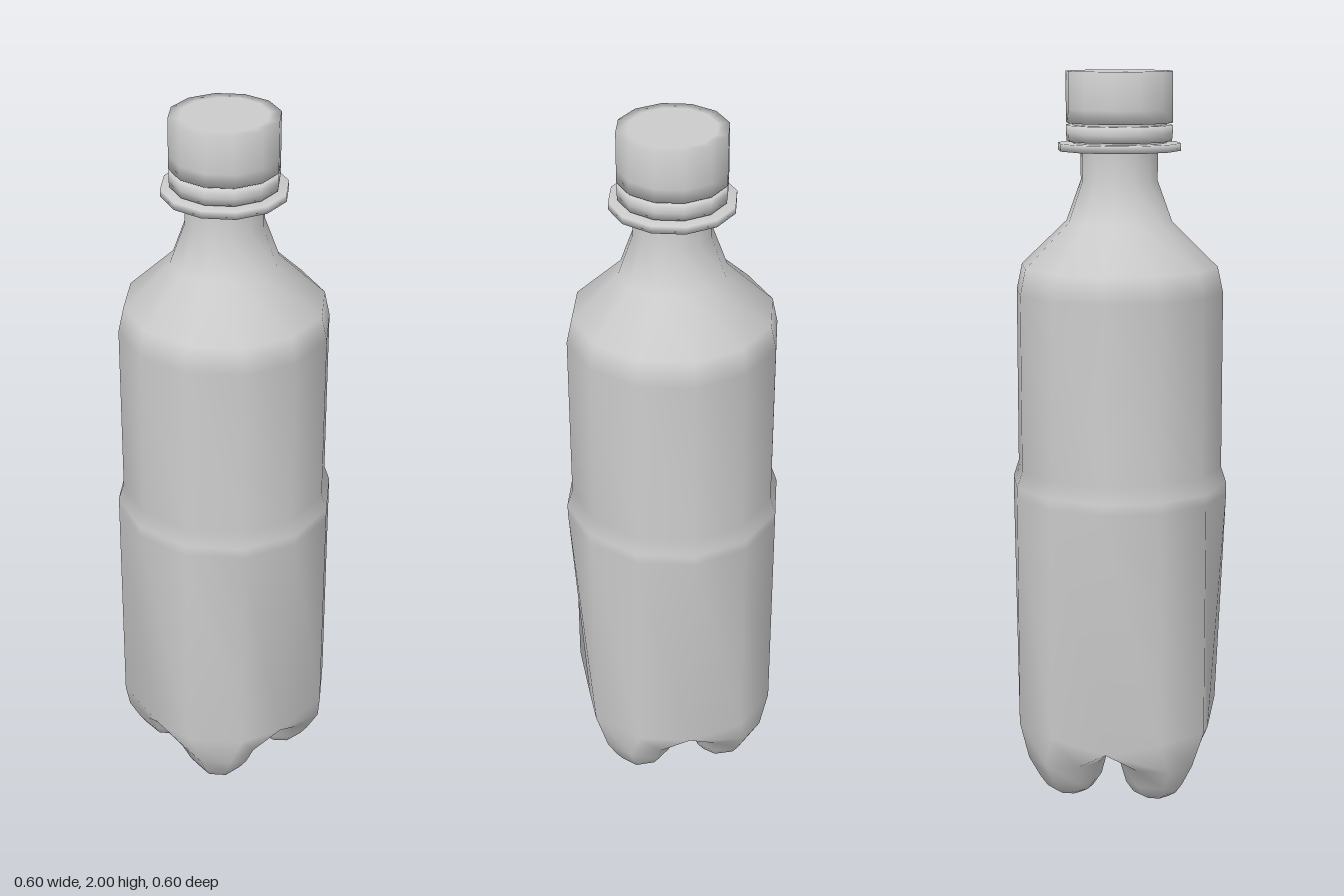
import * as THREE from 'three';
import { mergeGeometries, mergeVertices } from 'three/addons/utils/BufferGeometryUtils.js';

const SIDES = 12;
const R = 0.3;
const RIM = { r: 0.255, y: 0.16 }; // where each groove meets the wall

const lathe = (profile) =>
  new THREE.LatheGeometry(profile.map(([r, y]) => new THREE.Vector2(r, y)), SIDES);

// Wall from the feet to the neck; the four groove corners are drawn inward at the bottom
function wallGeometry() {
  const geo = lathe([
    [R, 0.2], [R, 0.85], [R, 0.88], [0.285, 0.925], [0.285, 1.41], [0.27, 1.48],
    [0.145, 1.6], [0.105, 1.71], [0.105, 1.8],
  ]);
  const p = geo.attributes.position;
  for (let i = 0; i < p.count; i++) {
    const x = p.getX(i), z = p.getZ(i);
    if (p.getY(i) < 0.21 && Math.min(Math.abs(x), Math.abs(z)) < 0.01) {
      p.setXYZ(i, (x * RIM.r) / R, RIM.y, (z * RIM.r) / R);
    }
  }
  geo.deleteAttribute('uv');
  geo.deleteAttribute('normal');
  return geo.toNonIndexed();
}

// One foot: loops shrinking from a quarter of the base outline to a round tip
function footGeometry(turns) {
  const c = R * Math.cos(Math.PI / 6), s = R / 2;
  const outline = [
    [0, 0.145, 0], [0.08, 0.145, 0], [0.17, 0.148, 0], [RIM.r, RIM.y, 0], [c, 0.2, s],
    [s, 0.2, c], [0, RIM.y, RIM.r], [0, 0.148, 0.17], [0, 0.145, 0.08],
  ];
  const angles = [-180, -140, -105, -70, -22, 22, 70, 105, 140];
  const ring = (centre, r, y) => angles.map((deg) => {
    const a = THREE.MathUtils.degToRad(deg + 45);
    return [centre + r * Math.cos(a), y, centre + r * Math.sin(a)];
  });
  const loops = [
    outline, ring(0.128, 0.111, 0.11), ring(0.121, 0.088, 0.05),
    ring(0.121, 0.066, 0.018), ring(0.122, 0.04, 0.002),
  ];
  const tip = [0.122, 0, 0.122];
  const out = [];
  const tri = (...corners) => corners.forEach(([x, y, z]) => {
    for (let t = 0; t < turns; t++) [x, z] = [-z, x];
    out.push(x, y, z);
  });
  const n = angles.length;
  for (let i = 0; i < n; i++) {
    const j = (i + 1) % n;
    for (let k = 0; k < loops.length - 1; k++) {
      const a = loops[k], b = loops[k + 1];
      tri(a[i], a[j], b[i]);
      tri(a[j], b[j], b[i]);
    }
    const last = loops[loops.length - 1];
    tri(tip, last[i], last[j]);
  }
  const geo = new THREE.BufferGeometry();
  geo.setAttribute('position', new THREE.Float32BufferAttribute(out, 3));
  return geo;
}

export function createModel() {
  const group = new THREE.Group();
  const material = new THREE.MeshStandardMaterial({ color: 0xcccccc, side: THREE.DoubleSide });
  const add = (name, geometry) => {
    const mesh = new THREE.Mesh(geometry, material);
    mesh.name = name;
    group.add(mesh);
  };

  // Wall and four feet welded into one smooth skin
  const body = mergeVertices(
    mergeGeometries([wallGeometry(), ...[0, 1, 2, 3].map(footGeometry)]), 1e-3);
  body.computeVertexNormals();
  add('body', body);

  // Neck flange, tamper ring and screw cap
  add('neckFlange', lathe([[0.1, 1.79], [0.167, 1.79], [0.167, 1.81], [0.1, 1.81]]));
  add('tamperRing', lathe([[0.1, 1.815], [0.143, 1.815], [0.145, 1.835], [0.145, 1.858], [0.1, 1.858]]));
  add('neckCore', lathe([[0.128, 1.8], [0.128, 1.87]]));
  add('cap', lathe([[0, 1.864], [0.1, 1.864], [0.145, 1.864], [0.145, 1.9], [0.145, 2], [0.115, 2], [0, 2]]));
  return group;
}
